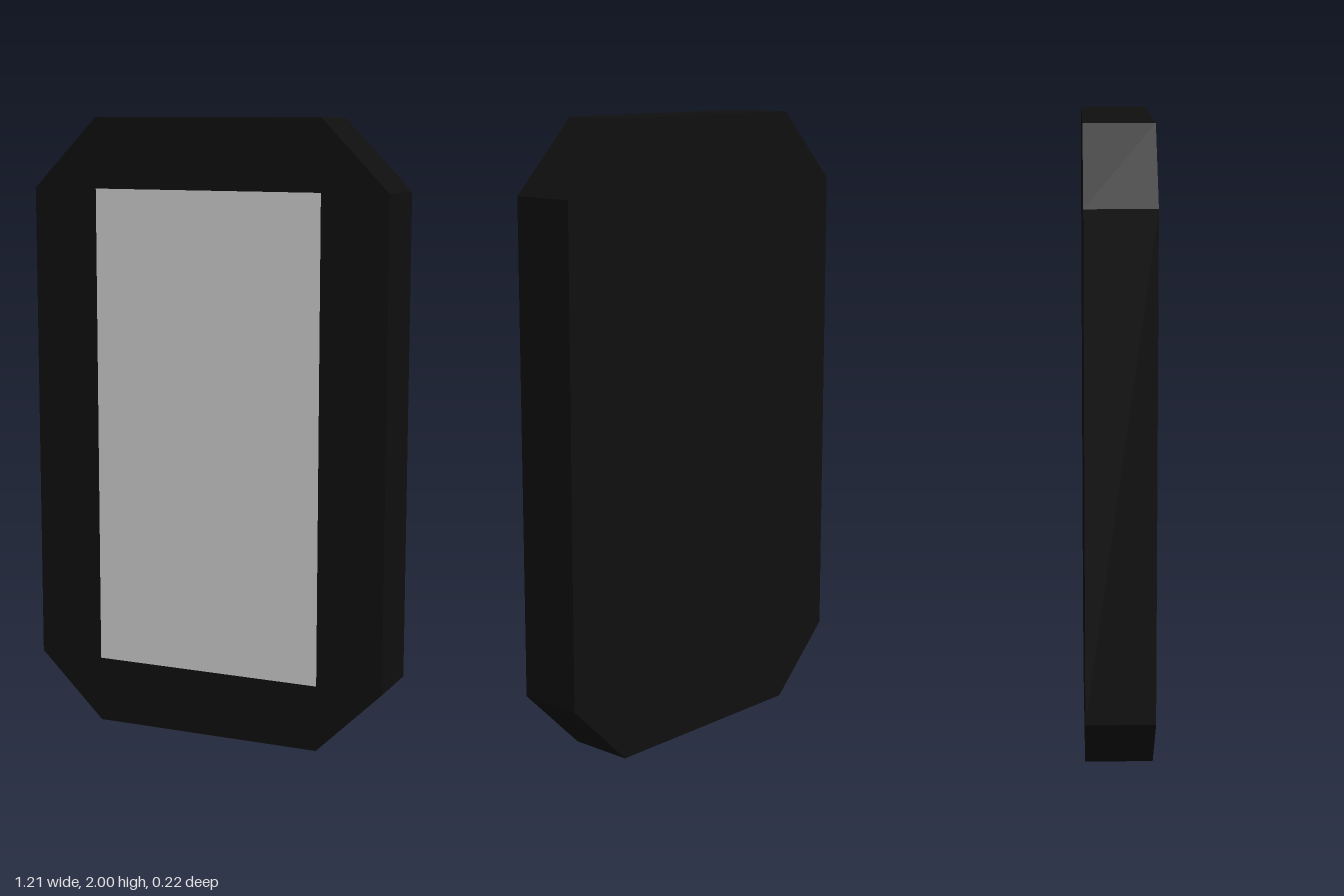
import * as THREE from 'three';

const HALF_W = 0.605, HEIGHT = 2, DEPTH = 0.214;
const INNER_X = 0.385, LOW_Y = 0.215, HIGH_Y = 1.775;

export function createModel() {
  const group = new THREE.Group();
  group.name = 'tablet';

  // Slab with four chamfered corners
  const outline = new THREE.Shape([
    [-INNER_X, 0], [INNER_X, 0], [HALF_W, LOW_Y], [HALF_W, HIGH_Y],
    [INNER_X, HEIGHT], [-INNER_X, HEIGHT], [-HALF_W, HIGH_Y], [-HALF_W, LOW_Y],
  ].map(([x, y]) => new THREE.Vector2(x, y)));
  const bodyGeometry = new THREE.ExtrudeGeometry(outline, { depth: DEPTH, bevelEnabled: false });
  bodyGeometry.translate(0, 0, -DEPTH / 2);
  const body = new THREE.Mesh(
    bodyGeometry,
    new THREE.MeshStandardMaterial({ color: 0x0f0f0f, flatShading: true }),
  );
  body.name = 'body';
  group.add(body);

  // Screen lying flush on the front, a hair forward so it draws cleanly
  const screen = new THREE.Mesh(
    new THREE.PlaneGeometry(2 * INNER_X, HIGH_Y - LOW_Y),
    new THREE.MeshStandardMaterial({ color: 0xcccccc }),
  );
  screen.name = 'screen';
  screen.position.set(0, (LOW_Y + HIGH_Y) / 2, DEPTH / 2 + 0.001);
  group.add(screen);

  return group;
}
